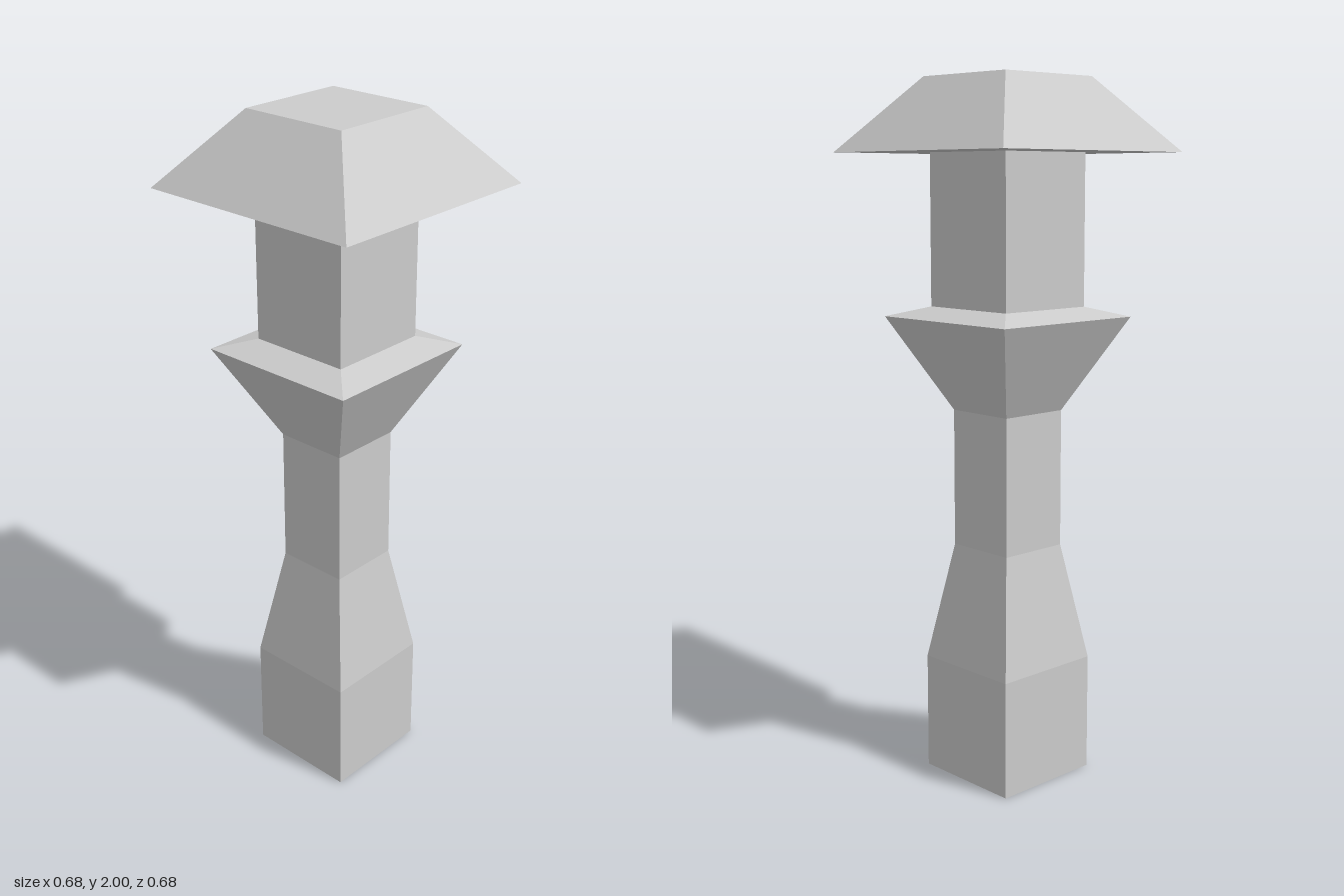
import * as THREE from 'three';

const material = new THREE.MeshStandardMaterial({ color: 0xcccccc, flatShading: true });

// Square-section part from [half width, height] pairs, listed bottom to top
function squarePart(name, profile) {
  const points = profile.map(([half, y]) => new THREE.Vector2(half * Math.SQRT2, y));
  const geometry = new THREE.LatheGeometry(points, 4, Math.PI / 4).toNonIndexed();
  geometry.computeVertexNormals();
  const mesh = new THREE.Mesh(geometry, material);
  mesh.name = name;
  return mesh;
}

export function createModel() {
  const model = new THREE.Group();
  model.name = 'lanternPost';
  model.add(
    // Block base, closed underneath
    squarePart('base', [[0, 0], [0.167, 0], [0.167, 0.34]]),
    // Tapering shoulder and slim shaft
    squarePart('shoulder', [[0.167, 0.34], [0.108, 0.68]]),
    squarePart('shaft', [[0.108, 0.68], [0.108, 1.075]]),
    // Flared collar with a shallow sloping ledge
    squarePart('collar', [[0.108, 1.075], [0.245, 1.342], [0.152, 1.37]]),
    // Lantern block under the roof
    squarePart('lantern', [[0.152, 1.37], [0.152, 1.796]]),
    // Overhanging roof with a flat top
    squarePart('roof', [[0, 1.796], [0.341, 1.796], [0.163, 2], [0, 2]]),
  );
  return model;
}
